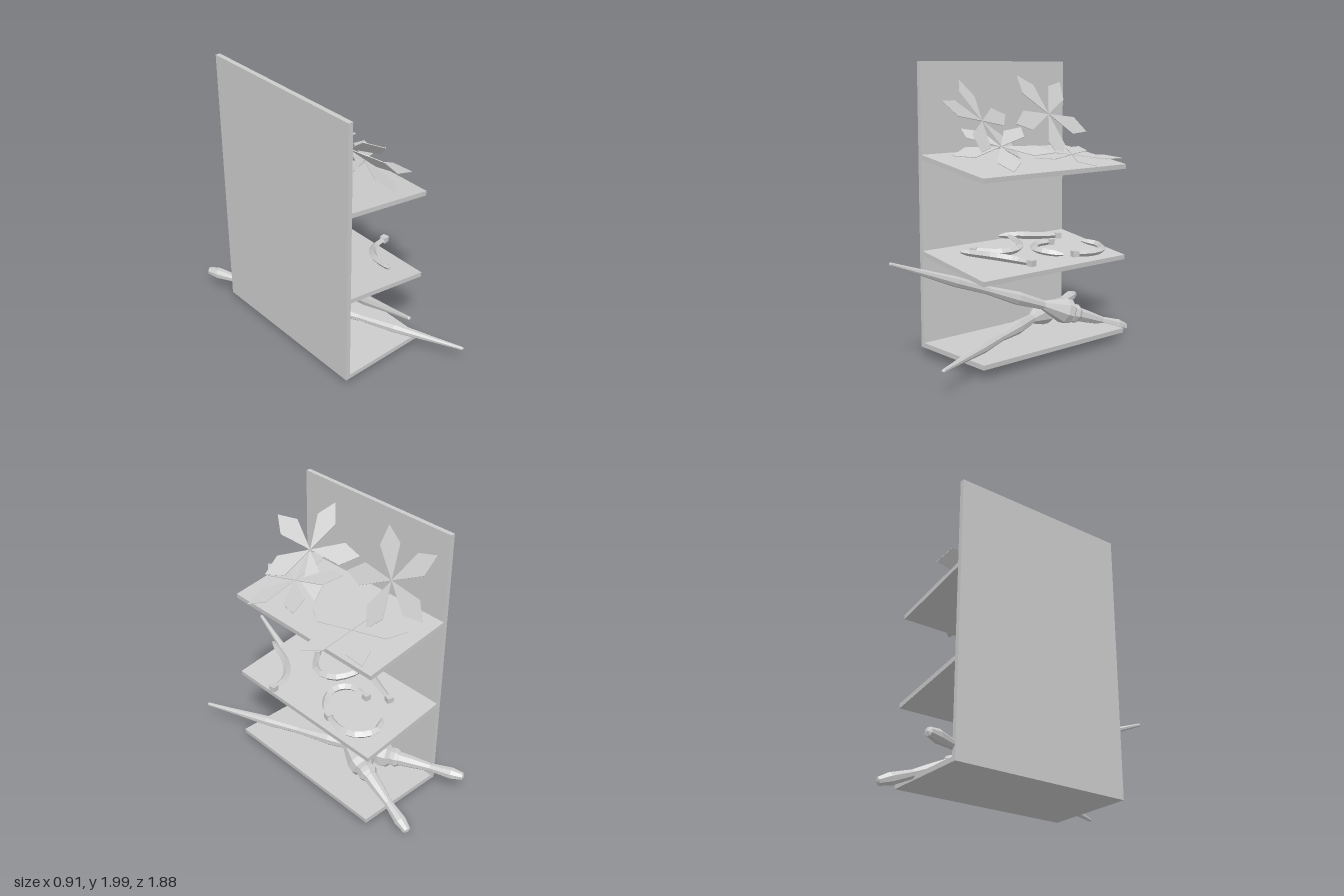
import * as THREE from 'three';

const V = (a) => new THREE.Vector3(...a);
const grey = () => new THREE.MeshStandardMaterial({ color: 0xcccccc, flatShading: true, side: THREE.DoubleSide });

function add(parent, name, geometry) {
  const mesh = new THREE.Mesh(geometry, grey());
  mesh.name = name;
  parent.add(mesh);
  return mesh;
}

// Shelf board between a back and a front top edge
function shelf(parent, name, backY, frontY) {
  const x0 = -0.355, x1 = 0.293, t = 0.033;
  const outline = new THREE.Shape([
    new THREE.Vector2(x0, backY), new THREE.Vector2(x0, backY - t),
    new THREE.Vector2(x1 - 0.003, frontY - t), new THREE.Vector2(x1, frontY),
  ]);
  const geo = new THREE.ExtrudeGeometry(outline, { depth: 1.286, bevelEnabled: false });
  add(parent, name, geo).position.z = -0.713;
}

// Five-bladed star; two blade directions fix its plane and spin
function star(parent, centre, dirA, dirB) {
  const g = new THREE.Group();
  g.name = 'throwingStar';
  const u = V(dirA).normalize();
  const n = u.clone().cross(V(dirB)).normalize();
  const v = n.clone().cross(u);
  const blade = new THREE.Shape([
    new THREE.Vector2(0, 0), new THREE.Vector2(0.235, -0.076),
    new THREE.Vector2(0.355, 0), new THREE.Vector2(0.225, 0.076),
  ]);
  for (let i = 0; i < 5; i++) {
    const geo = new THREE.ExtrudeGeometry(blade, { depth: 0.004, bevelEnabled: false });
    geo.translate(0, 0, -0.002);
    add(g, 'starBlade', geo).rotation.z = (i * Math.PI * 2) / 5;
  }
  g.quaternion.setFromRotationMatrix(new THREE.Matrix4().makeBasis(u, v, n));
  g.position.copy(V(centre));
  parent.add(g);
}

// Curved blade tapering to a point, with a small block at its first end
function hook(parent, points) {
  const g = new THREE.Group();
  g.name = 'curvedHook';
  const curve = new THREE.CatmullRomCurve3(points.map(V));
  const steps = 10, sides = 4;
  const geo = new THREE.TubeGeometry(curve, steps, 0.024, sides, false);
  const p = geo.attributes.position;
  for (let i = 0; i <= steps; i++) {
    const c = curve.getPointAt(i / steps);
    const s = i === steps ? 0.35 : 0.8 + 0.3 * Math.sin((Math.PI * i) / steps);
    for (let j = 0; j <= sides; j++) {
      const k = i * (sides + 1) + j;
      const q = new THREE.Vector3().fromBufferAttribute(p, k).sub(c).multiplyScalar(s).add(c);
      p.setXYZ(k, q.x, q.y, q.z);
    }
  }
  geo.computeVertexNormals();
  add(g, 'hookBlade', geo);
  const block = add(g, 'hookEnd', new THREE.BoxGeometry(0.045, 0.04, 0.045));
  block.position.copy(curve.getPointAt(0));
  block.lookAt(curve.getPointAt(0.1));
  parent.add(g);
}

// Long dagger: [radius, fraction of length from the tip]
const bladeProfile = [
  [0, 0], [0.012, 0.004], [0.02, 0.1], [0.037, 0.25], [0.03, 0.38],
  [0.048, 0.5], [0.034, 0.61], [0.092, 0.7], [0.09, 0.725], [0.045, 0.745], [0, 0.745],
];
const ringProfile = [[0, 0.735], [0.066, 0.738], [0.07, 0.755], [0.055, 0.768], [0, 0.768]];
const gripProfile = [
  [0, 0.76], [0.052, 0.762], [0.045, 0.81], [0.03, 0.88], [0.043, 0.955], [0.028, 0.995], [0, 1],
];

function dagger(parent, tip, pommel) {
  const g = new THREE.Group();
  g.name = 'dagger';
  const a = V(tip), d = V(pommel).sub(a), len = d.length();
  const parts = { daggerBlade: bladeProfile, daggerRing: ringProfile, daggerGrip: gripProfile };
  for (const [name, profile] of Object.entries(parts)) {
    const pts = profile.map(([r, t]) => new THREE.Vector2(r, t * len));
    add(g, name, new THREE.LatheGeometry(pts, 8));
  }
  g.position.copy(a);
  g.quaternion.setFromUnitVectors(new THREE.Vector3(0, 1, 0), d.normalize());
  parent.add(g);
}

export function createModel() {
  const model = new THREE.Group();
  model.name = 'weaponRack';

  // Rack
  add(model, 'backPanel', new THREE.BoxGeometry(0.033, 1.925, 1.286)).position.set(-0.367, 1.0375, -0.07);
  shelf(model, 'bottomShelf', 0.108, 0.108);
  shelf(model, 'middleShelf', 0.745, 0.645);
  shelf(model, 'topShelf', 1.39, 1.29);

  // Stars on the top shelf
  star(model, [-0.18, 1.63, -0.41], [-0.15, 0.28, 0.18], [-0.14, 0.22, -0.24]);
  star(model, [0.11, 1.365, -0.36], [0.34, -0.045, 0.1], [0.01, 0, 0.35]);
  star(model, [-0.1, 1.61, 0.26], [0, 0.14, 0.33], [-0.24, 0.27, 0.01]);
  star(model, [0.06, 1.45, 0.235], [0.3, -0.13, 0.145], [-0.06, -0.04, 0.35]);

  // Curved hooks on the middle shelf
  hook(model, [[-0.18, 0.735, 0.28], [-0.04, 0.725, 0.14], [-0.05, 0.735, -0.02], [-0.16, 0.755, -0.1], [-0.3, 0.775, -0.12]]);
  hook(model, [[0.31, 0.715, 0.19], [0.18, 0.72, 0.22], [0.08, 0.745, 0.33], [0.02, 0.79, 0.54]]);
  hook(model, [[-0.145, 0.755, -0.47], [-0.2, 0.765, -0.3], [-0.25, 0.775, -0.18], [-0.34, 0.77, -0.08]]);
  hook(model, [[-0.07, 0.735, -0.33], [-0.07, 0.735, -0.19], [-0.01, 0.725, -0.12], [0.09, 0.715, -0.12], [0.2, 0.7, -0.2]]);
  hook(model, [[0.23, 0.7, -0.28], [0.26, 0.695, -0.42], [0.235, 0.7, -0.54], [0.12, 0.71, -0.61], [0.01, 0.725, -0.56]]);

  // Daggers lying across the bottom shelf
  dagger(model, [0.36, 0.17, 0.945], [-0.44, 0.185, -0.935]);
  dagger(model, [-0.195, 0.735, 0.945], [0.115, 0.035, -0.935]);

  return model;
}
